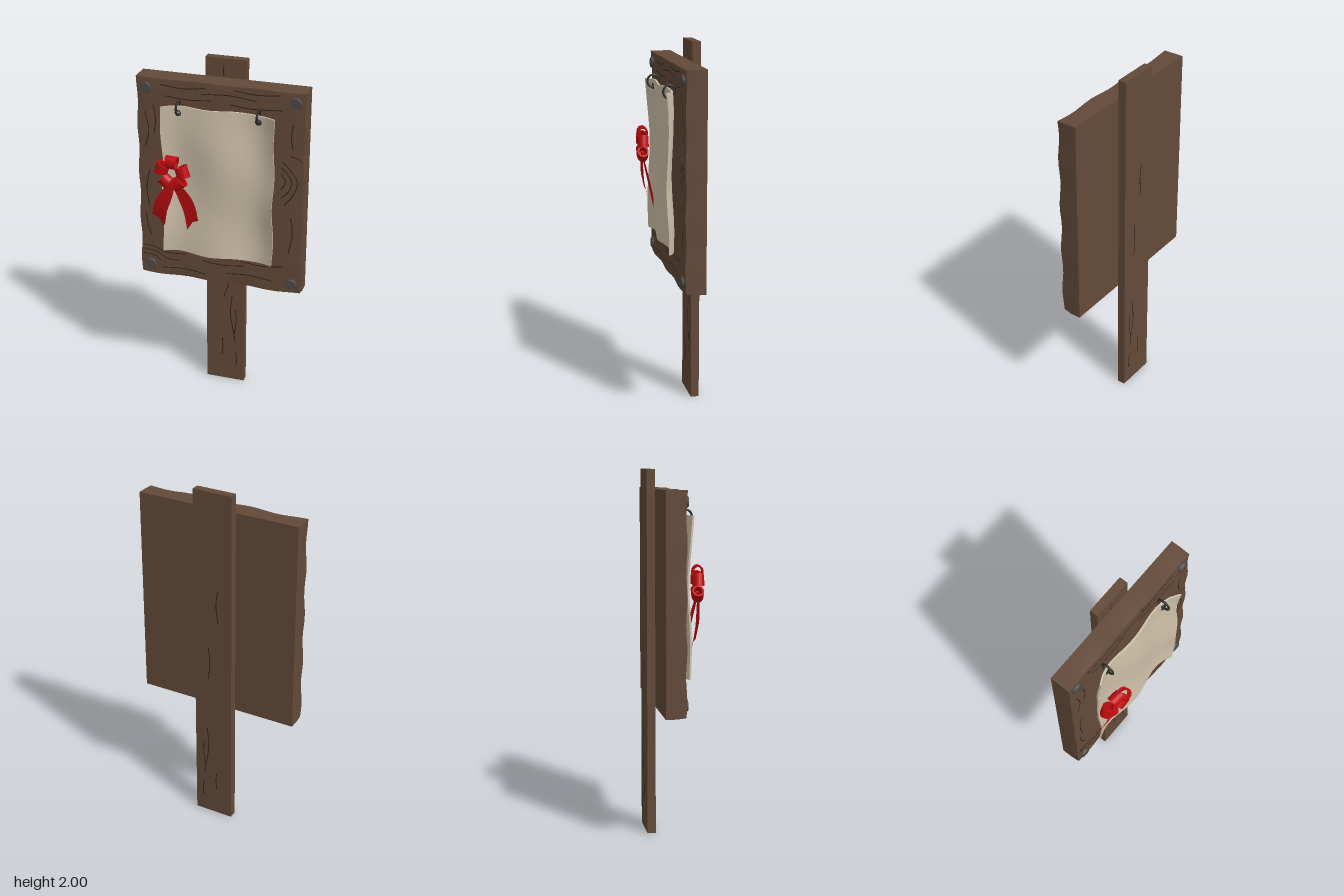
import * as THREE from 'three';

const mat = (name, color, side = THREE.FrontSide) => {
  const m = new THREE.MeshStandardMaterial({ color, side });
  m.name = name;
  return m;
};

// Moves every vertex by a rule, then refreshes the normals
function warp(geo, rule) {
  const p = geo.attributes.position, v = new THREE.Vector3();
  for (let i = 0; i < p.count; i++) {
    v.fromBufferAttribute(p, i);
    rule(v);
    p.setXYZ(i, v.x, v.y, v.z);
  }
  geo.computeVertexNormals();
  return geo;
}

export function createModel() {
  const model = new THREE.Group();
  model.name = 'noticeBoard';
  const wood = mat('wood', 0x634a39);
  const crack = mat('dark wood grain', 0x2e2119);
  const paper = mat('parchment', 0xd0c2aa);
  const iron = mat('bolt iron', 0x4b4a49);
  const wire = mat('dark ring iron', 0x2f2f2c);
  const red = mat('red ribbon', 0xc20d10, THREE.DoubleSide);

  const add = (name, geo, material, parent = model) => {
    const m = new THREE.Mesh(geo, material);
    m.name = name;
    parent.add(m);
    return m;
  };

  // Post behind the board
  add('post', new THREE.BoxGeometry(0.226, 2, 0.046), wood).position.set(0, 1, -0.127);

  // Thick board with a hand-hewn front edge
  const board = warp(new THREE.BoxGeometry(0.93, 1.18, 0.113, 20, 24, 2), (v) => {
    const edgeX = Math.abs(v.x) > 0.464, edgeY = Math.abs(v.y) > 0.589;
    if (v.z < 0.05) return;
    const wobble = 0.003 + 0.003 * Math.sin(v.x * 19 + v.y * 23);
    if (edgeX) v.x -= Math.sign(v.x) * wobble;
    if (edgeY) v.y -= Math.sign(v.y) * wobble;
    if (edgeX || edgeY) v.z -= wobble;
  });
  add('board', board, wood).position.set(0, 1.305, -0.0485);

  // Wood grain: fine dark lines sunk into the surface
  const grain = (z, ...pts) => {
    const c = new THREE.CatmullRomCurve3(pts.map(([x, y]) => new THREE.Vector3(x, y, 0)));
    const g = new THREE.TubeGeometry(c, 10, 0.0026, 4);
    g.scale(1, 1, 0.5);
    add('woodGrain', g, crack).position.z = z;
  };
  const front = 0.008;
  [
    [[-0.33, 1.86], [-0.2, 1.85], [-0.08, 1.865]],
    [[-0.1, 1.83], [0.05, 1.84], [0.2, 1.825]],
    [[0.08, 1.87], [0.2, 1.86], [0.33, 1.87]],
    [[-0.3, 1.8], [-0.18, 1.79], [-0.05, 1.8]],
    [[0.06, 1.79], [0.18, 1.78], [0.34, 1.79]],
    [[-0.45, 0.89], [-0.38, 0.885], [-0.32, 0.86], [-0.2, 0.865]],
    [[-0.45, 0.865], [-0.37, 0.855], [-0.31, 0.82], [-0.23, 0.82]],
    [[-0.45, 0.835], [-0.38, 0.83], [-0.35, 0.8]],
    [[-0.34, 0.76], [-0.2, 0.77], [-0.08, 0.755]],
    [[-0.1, 0.84], [0.02, 0.83], [0.14, 0.845]],
    [[0.04, 0.78], [0.16, 0.79], [0.3, 0.775]],
    [[0.12, 0.87], [0.24, 0.86], [0.36, 0.875]],
    [[0.34, 1.51], [0.39, 1.46], [0.43, 1.4], [0.41, 1.32], [0.36, 1.25]],
    [[0.34, 1.47], [0.38, 1.43], [0.4, 1.39], [0.38, 1.33], [0.34, 1.29]],
    [[0.34, 1.43], [0.365, 1.39], [0.34, 1.34]],
    [[0.39, 1.54], [0.43, 1.53], [0.455, 1.51]],
    [[0.4, 1.72], [0.39, 1.65], [0.4, 1.58]],
    [[0.4, 1.18], [0.41, 1.08], [0.39, 0.96]],
    [[-0.42, 1.7], [-0.4, 1.6], [-0.42, 1.5]],
    [[-0.37, 1.74], [-0.36, 1.66], [-0.37, 1.58]],
    [[-0.4, 1.36], [-0.42, 1.26], [-0.41, 1.14]],
    [[-0.43, 1.1], [-0.42, 1.02], [-0.4, 0.96]],
  ].forEach((line) => grain(front, ...line));
  const postGrain = [
    [[0.02, 0.68], [0.01, 0.62], [-0.01, 0.56]],
    [[0.04, 0.57], [0.03, 0.45], [0.045, 0.35], [0.06, 0.26]],
    [[0.06, 0.48], [0.065, 0.4], [0.05, 0.3]],
    [[-0.02, 0.28], [-0.015, 0.22], [-0.02, 0.16]],
    [[0.06, 0.2], [0.07, 0.15], [0.065, 0.1]],
  ];
  postGrain.forEach((line) => grain(-0.104, ...line));
  postGrain.slice(1).forEach((line) => grain(-0.15, ...line));
  grain(-0.15, [-0.03, 1.45], [-0.02, 1.36], [-0.03, 1.26]);
  grain(-0.15, [0.03, 1.1], [0.02, 1.0], [0.03, 0.9]);
  grain(-0.104, [-0.01, 1.96], [-0.015, 1.93], [-0.01, 1.9]);

  // Corner bolts
  for (const x of [-0.41, 0.41]) for (const y of [0.775, 1.835]) {
    const b = add('cornerBolt', new THREE.CylinderGeometry(0.028, 0.038, 0.03, 12), iron);
    b.rotation.x = Math.PI / 2;
    b.position.set(x, y, 0.005);
  }

  // Billowing sheet of parchment
  const sheet = warp(new THREE.BoxGeometry(0.625, 0.865, 0.01, 14, 18, 1), (v) => {
    const { x, y } = v, s = Math.abs(x) / 0.31;
    v.z += 0.031 + 0.017 * Math.cos(12 * x) + (x > 0 ? 0.045 : 0.03) * s ** 4
      + 0.007 * Math.sin(9 * y + 7 * x) + 0.012 * Math.max(0, y / 0.43) ** 4 * s ** 2;
    v.x += 0.005 * Math.sin(y * 17) * s;
    v.y += 0.004 * Math.sin(x * 21) * Math.abs(y) / 0.43;
  });
  add('parchment', sheet, paper).position.set(0, 1.327, 0);

  // Hanging rings with eyelets
  for (const x of [-0.22, 0.22]) {
    const ring = add('hangingRing', new THREE.TorusGeometry(0.035, 0.006, 6, 18), wire);
    ring.rotation.y = Math.PI / 2;
    ring.position.set(x, 1.754, 0.04);
    add('eyelet', new THREE.TorusGeometry(0.014, 0.004, 6, 14), wire).position.set(x, 1.725, 0.043);
  }

  // Rosette: five pinched ribbon loops around an open centre
  const rosette = new THREE.Group();
  rosette.name = 'ribbonRosette';
  rosette.position.set(-0.238, 1.4, 0.102);
  rosette.rotation.y = -0.1;
  model.add(rosette);
  const band = new THREE.Shape().absellipse(0, 0, 0.037, 0.031, 0, Math.PI * 2);
  band.holes.push(new THREE.Path().absellipse(0, 0, 0.027, 0.022, 0, Math.PI * 2));
  const loop = new THREE.ExtrudeGeometry(band, { depth: 0.07, bevelEnabled: false, curveSegments: 12 });
  loop.translate(0.062, 0, -0.035);
  loop.rotateX(Math.PI / 2);
  warp(loop, (v) => { v.y *= THREE.MathUtils.mapLinear(v.x, 0.025, 0.099, 0.58, 1); });
  for (let i = 0; i < 5; i++) {
    add('ribbonLoop', loop, red, rosette).rotation.z = Math.PI / 2 + i * Math.PI * 0.4;
  }

  // Two curling tails with slanted, notched ends
  const tail = (name, pts, slant) => {
    const path = new THREE.CatmullRomCurve3(pts.map((p) => new THREE.Vector3(...p)));
    const g = warp(new THREE.PlaneGeometry(1, 1, 4, 14), (v) => {
      const t = 0.5 - v.y, u = v.x * 2, c = path.getPoint(t);
      v.set(
        c.x + u * (0.02 + 0.014 * Math.min(1, t * 2)),
        c.y + slant * u * 0.035 * t + 0.02 * (1 - Math.abs(u)) * t ** 8,
        c.z + 0.006 * u * slant * t,
      );
    });
    add(name, g, red);
  };
  tail('ribbonTailRight', [[-0.24, 1.35, 0.105], [-0.268, 1.28, 0.1], [-0.31, 1.19, 0.088], [-0.338, 1.085, 0.062]], -1);
  tail('ribbonTailLeft', [[-0.235, 1.35, 0.105], [-0.19, 1.29, 0.098], [-0.152, 1.19, 0.08], [-0.14, 1.08, 0.058]], 1);

  return model;
}
